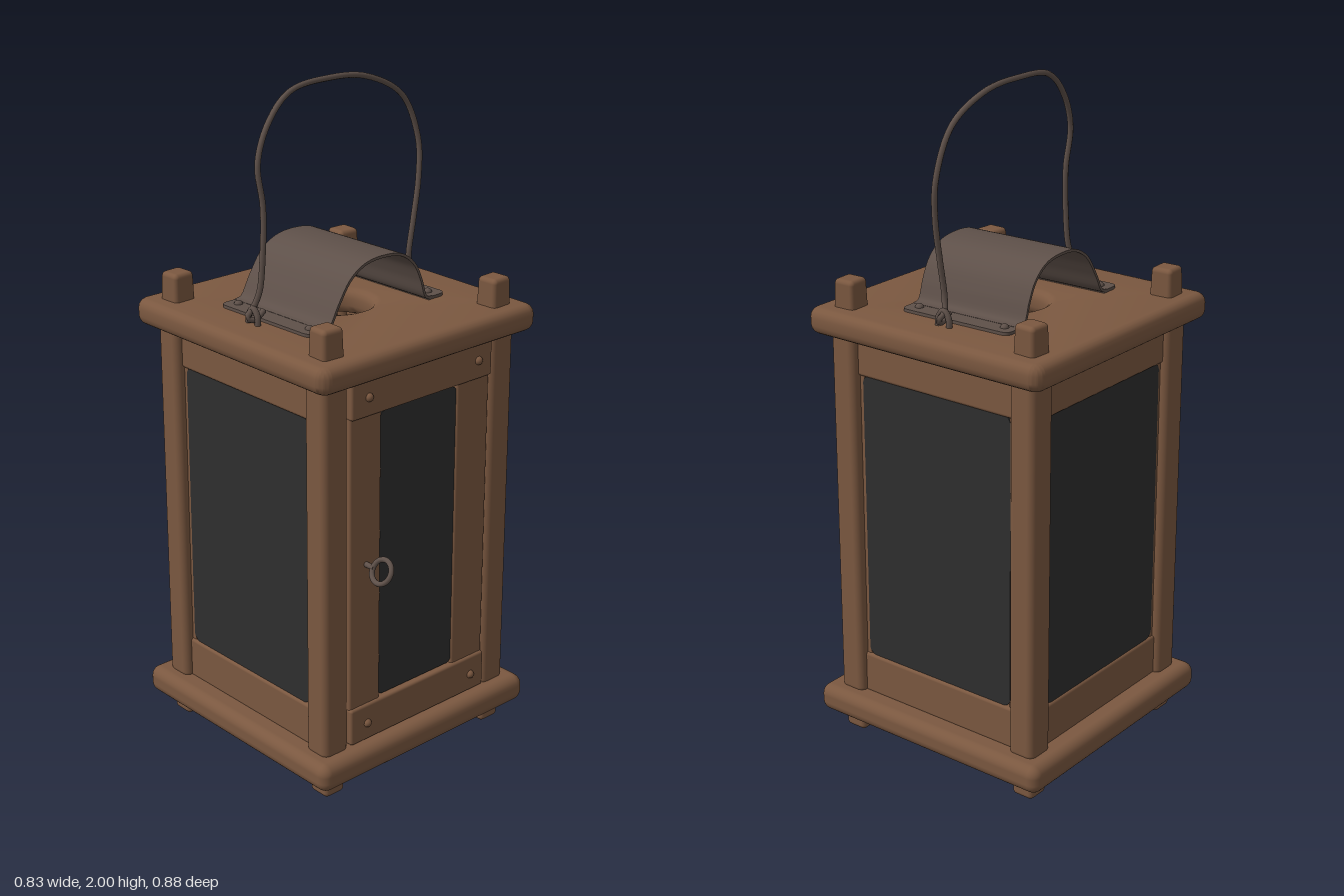
import * as THREE from 'three';
import { toCreasedNormals } from 'three/addons/utils/BufferGeometryUtils.js';
import { RoundedBoxGeometry } from 'three/addons/geometries/RoundedBoxGeometry.js';

const mat = (name, color) => Object.assign(new THREE.MeshStandardMaterial({ color }), { name });
const V = (x, y, z) => new THREE.Vector3(x, y, z);

// Rectangle outline with rounded corners, centred on the origin
function roundRect(w, h, r) {
  const s = new THREE.Shape();
  const corners = [[w / 2 - r, h / 2 - r, 0], [r - w / 2, h / 2 - r, 1], [r - w / 2, r - h / 2, 2], [w / 2 - r, r - h / 2, 3]];
  for (const [x, y, q] of corners) s.absarc(x, y, r, q * Math.PI / 2, (q + 1) * Math.PI / 2, false);
  s.closePath();
  return s;
}

export function createModel() {
  const wood = mat('wood', 0x7b5840), metal = mat('aged iron', 0x5e5049), glass = mat('dark glass', 0x2e2e2e);
  const model = new THREE.Group();
  model.name = 'lantern';
  const ZC = -0.025; // middle of the wooden case

  function add(name, geometry, material, x = 0, y = 0, z = 0, parent = model) {
    const m = new THREE.Mesh(geometry, material);
    m.name = name;
    m.position.set(x, y, z);
    parent.add(m);
    return m;
  }
  // Rounded wooden block given by its limits
  function block(name, x0, x1, y0, y1, z0, z1, r = 0.01, parent = model) {
    return add(name, new RoundedBoxGeometry(x1 - x0, y1 - y0, z1 - z0, 3, r), wood,
      (x0 + x1) / 2, (y0 + y1) / 2, (z0 + z1) / 2, parent);
  }
  const tube = (pts, r, closed = false) =>
    new THREE.TubeGeometry(new THREE.CatmullRomCurve3(pts, closed), pts.length * 6, r, 8, closed);
  const rivetGeo = new THREE.SphereGeometry(0.013, 14, 7, 0, Math.PI * 2, 0, Math.PI / 2);

  // Base board
  block('base', -0.413, 0.413, 0.06, 0.145, ZC - 0.413, ZC + 0.413, 0.032);

  // Top board with smoke hole
  const bevel = 0.028;
  const top = roundRect(0.826 - 2 * bevel, 0.826 - 2 * bevel, 0.012);
  const hole = new THREE.Path();
  hole.absarc(0, 0, 0.105 + bevel, 0, Math.PI * 2, true);
  top.holes.push(hole);
  const topGeo = new THREE.ExtrudeGeometry(top, {
    depth: 0.078 - 2 * bevel, bevelSize: bevel, bevelThickness: bevel, bevelSegments: 4, curveSegments: 20,
  });
  topGeo.rotateX(-Math.PI / 2);
  add('topBoard', toCreasedNormals(topGeo, 0.8), wood, 0, 1.273 + bevel, ZC);

  // Corner posts with tenons through both boards
  for (const sx of [-1, 1]) for (const sz of [-1, 1]) {
    const x = sx * 0.32, z = ZC + sz * 0.32;
    add('post', new RoundedBoxGeometry(0.092, 1.16, 0.088, 4, 0.022), wood, x, 0.71, z);
    const tenon = add('topTenon', new RoundedBoxGeometry(0.078, 0.16, 0.078, 3, 0.014), wood, x, 1.353, z);
    tenon.rotation.y = sx * sz * 0.05;
    // Taper the tenon a little toward its end
    const p = tenon.geometry.attributes.position;
    for (let i = 0; i < p.count; i++) if (p.getY(i) > 0) p.setXYZ(i, p.getX(i) * 0.88, p.getY(i), p.getZ(i) * 0.88);
    add('foot', new RoundedBoxGeometry(0.072, 0.12, 0.072, 3, 0.014), wood, x, 0.062, z);
  }

  // Side and back walls: rails, thin stiles and a glass pane
  for (const [name, angle] of [['left', Math.PI / 2], ['right', -Math.PI / 2], ['back', Math.PI]]) {
    const wall = new THREE.Group();
    wall.name = name + 'Wall';
    wall.position.z = ZC;
    wall.rotation.y = angle;
    model.add(wall);
    block('topRail', -0.285, 0.285, 1.155, 1.28, 0.295, 0.345, 0.01, wall);
    block('bottomRail', -0.285, 0.285, 0.14, 0.27, 0.295, 0.345, 0.01, wall);
    for (const s of [-1, 1]) block('stile', s * 0.274 - 0.014, s * 0.274 + 0.014, 0.26, 1.165, 0.3, 0.338, 0.006, wall);
    const pane = new THREE.ExtrudeGeometry(roundRect(0.53, 0.89, 0.025), { depth: 0.008, bevelEnabled: false });
    add('pane', pane, glass, 0, 0.715, 0.331, wall);
  }

  // Front door
  const door = new THREE.Group();
  door.name = 'door';
  model.add(door);
  block('doorTopRail', -0.272, 0.268, 1.16, 1.272, 0.29, 0.346, 0.008, door);
  block('doorBottomRail', -0.272, 0.268, 0.15, 0.265, 0.29, 0.346, 0.008, door);
  block('doorStile', -0.27, -0.153, 0.255, 1.17, 0.29, 0.336, 0.008, door);
  block('doorStile', 0.14, 0.268, 0.255, 1.17, 0.29, 0.336, 0.008, door);
  const doorPane = new THREE.ExtrudeGeometry(roundRect(0.3, 0.885, 0.02), { depth: 0.008, bevelEnabled: false });
  add('doorPane', doorPane, glass, -0.007, 0.712, 0.322, door);
  for (const x of [-0.21, 0.212]) for (const y of [0.205, 1.217])
    add('doorPeg', rivetGeo, wood, x, y, 0.345, door).rotation.x = Math.PI / 2;

  // Ring pull on the door
  const ring = add('ringPull', new THREE.TorusGeometry(0.035, 0.008, 10, 28), metal, -0.21, 0.712, 0.4, door);
  ring.rotation.set(0, Math.PI / 2, -0.5, 'ZYX');
  const shank = add('ringShank', new THREE.CylinderGeometry(0.008, 0.008, 0.04, 10), metal, -0.21, 0.712, 0.35, door);
  shank.rotation.x = Math.PI / 2;

  // Bent sheet hood over the smoke hole
  const hood = new THREE.Group();
  hood.name = 'hood';
  hood.position.set(-0.003, 0, -0.027);
  hood.rotation.y = 0.028;
  model.add(hood);
  const arc = new THREE.CatmullRomCurve3([
    V(-0.215, 1.357, 0), V(-0.19, 1.363, 0), V(-0.155, 1.42, 0), V(-0.11, 1.482, 0), V(-0.055, 1.514, 0), V(0.015, 1.522, 0),
    V(0.09, 1.51, 0), V(0.14, 1.472, 0), V(0.168, 1.42, 0), V(0.19, 1.363, 0), V(0.215, 1.357, 0)]);
  const outer = [], inner = [];
  for (let i = 0; i <= 48; i++) {
    const p = arc.getPoint(i / 48), t = arc.getTangent(i / 48);
    outer.push(new THREE.Vector2(p.x - t.y * 0.004, p.y + t.x * 0.004));
    inner.unshift(new THREE.Vector2(p.x + t.y * 0.004, p.y - t.x * 0.004));
  }
  const arch = new THREE.ExtrudeGeometry(new THREE.Shape([...outer, ...inner]), { depth: 0.37, bevelEnabled: false });
  add('arch', toCreasedNormals(arch, 0.6), metal, 0, 0, -0.185, hood);
  for (const s of [-1, 1]) {
    // Flange: rounded outer corners, straight inner edge
    const f = new THREE.Shape();
    f.moveTo(0, -0.185);
    f.lineTo(0.045, -0.185);
    f.quadraticCurveTo(0.07, -0.185, 0.07, -0.16);
    f.lineTo(0.07, 0.16);
    f.quadraticCurveTo(0.07, 0.185, 0.045, 0.185);
    f.lineTo(0, 0.185);
    const flange = new THREE.ExtrudeGeometry(f, { depth: 0.009, bevelEnabled: false });
    flange.rotateX(-Math.PI / 2);
    if (s < 0) flange.rotateY(Math.PI);
    add('flange', flange, metal, s * 0.2, 1.351, 0, hood);
    for (const z of [-0.148, 0.148]) add('rivet', rivetGeo, metal, s * 0.233, 1.358, z, hood);
  }

  // Wire carrying handle with hooked ends
  add('handle', tube([
    V(-0.268, 1.385, -0.022), V(-0.3, 1.362, -0.025), V(-0.322, 1.372, -0.032), V(-0.3, 1.395, -0.032), V(-0.284, 1.44, -0.022),
    V(-0.273, 1.55, -0.018), V(-0.268, 1.68, -0.02), V(-0.278, 1.8, -0.028), V(-0.235, 1.9, -0.036),
    V(-0.15, 1.975, -0.045), V(0, 1.991, -0.051), V(0.14, 1.976, -0.047), V(0.27, 1.905, -0.038),
    V(0.326, 1.77, -0.028), V(0.322, 1.66, -0.02), V(0.302, 1.54, -0.018), V(0.288, 1.43, -0.022),
    V(0.3, 1.39, -0.03), V(0.326, 1.375, -0.03), V(0.302, 1.362, -0.025), V(0.275, 1.385, -0.028)], 0.0085), metal);

  // Staples holding the handle
  for (const x of [-0.302, 0.3])
    add('staple', tube([V(0, -0.03, -0.018), V(0, 0.015, -0.018), V(0, 0.036, 0), V(0, 0.015, 0.018), V(0, -0.03, 0.018)], 0.009),
      metal, x, 1.36, -0.028);

  return model;
}
